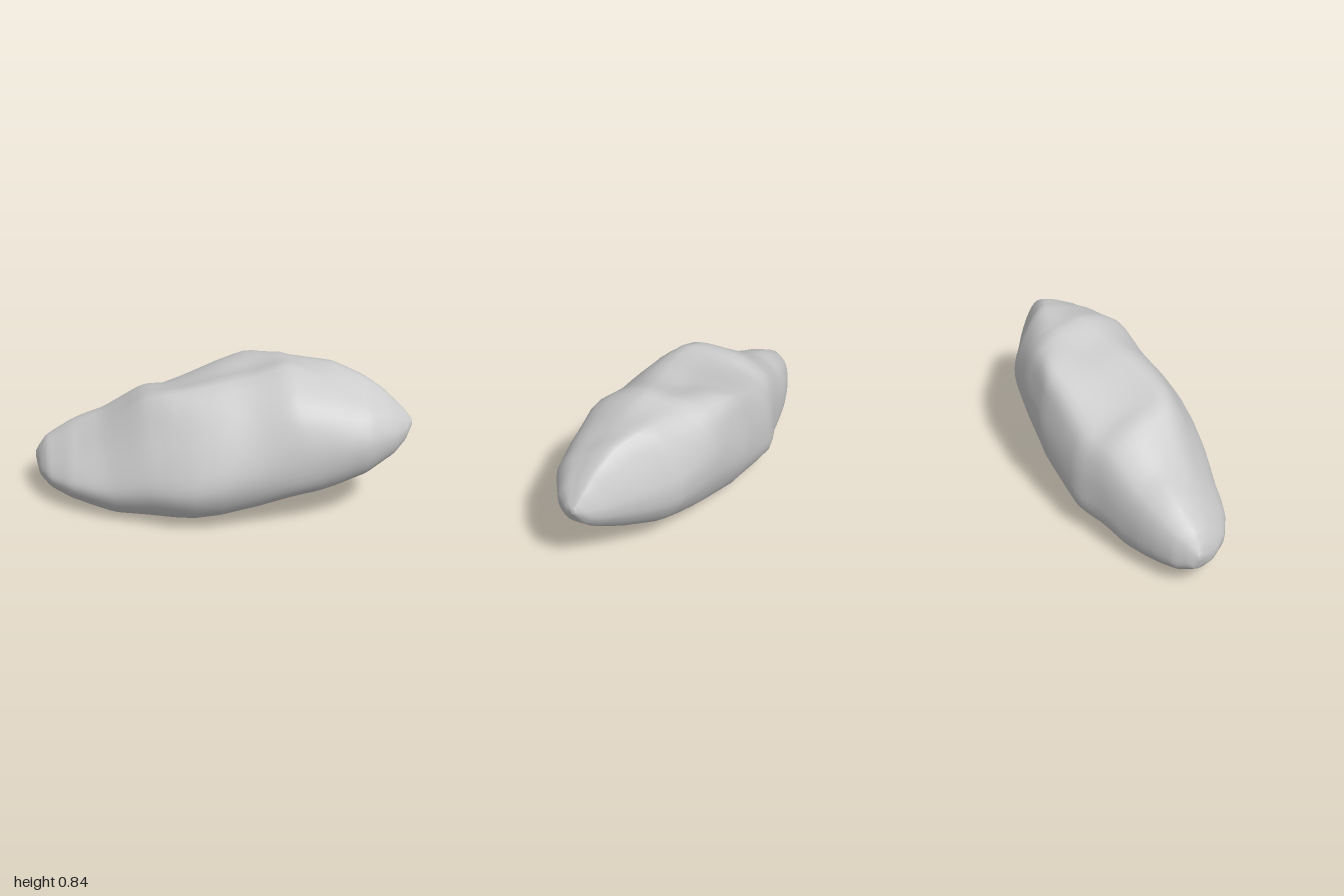
import * as THREE from 'three';

// Outline curves along the length: [x, value]
const top = [[-1, 0.23], [-0.98, 0.27], [-0.94, 0.33], [-0.8, 0.42], [-0.62, 0.51], [-0.4, 0.685], [-0.2, 0.72],
  [0, 0.765], [0.17, 0.79], [0.33, 0.84], [0.6, 0.82], [0.75, 0.77], [0.85, 0.71], [0.95, 0.62], [1, 0.56]];
const bottom = [[-1, 0.2], [-0.98, 0.13], [-0.9, 0.08], [-0.8, 0.05], [-0.57, 0], [-0.4, 0.015], [-0.15, 0.035],
  [0, 0.06], [0.2, 0.11], [0.4, 0.165], [0.5, 0.185], [0.6, 0.22], [0.75, 0.29], [0.9, 0.39], [0.96, 0.45], [1, 0.53]];
const back = [[-1, -0.24], [-0.97, -0.27], [-0.9, -0.32], [-0.8, -0.35], [-0.7, -0.37], [-0.4, -0.4], [-0.25, -0.43],
  [0.1, -0.4], [0.36, -0.33], [0.6, -0.23], [0.8, -0.06], [0.93, 0.06], [0.98, 0.12], [1, 0.16]];
const front = [[-1, -0.21], [-0.97, -0.09], [-0.92, 0], [-0.8, 0.11], [-0.7, 0.17], [-0.5, 0.27], [-0.25, 0.385],
  [-0.15, 0.415], [-0.03, 0.425], [0.2, 0.415], [0.6, 0.4], [0.75, 0.38], [0.9, 0.3], [0.97, 0.23], [1, 0.18]];

// Cross-sections scaled to the outline, [depth, height], from the front over the top to the back and under
const sections = [
  { x: -0.75, ring: [[1, 0.35], [0.95, 0.5], [0.81, 0.69], [0.62, 0.88], [0.45, 0.98], [0.28, 1], [0.1, 0.85],
    [0.03, 0.68], [0, 0.45], [0.02, 0.22], [0.13, 0.07], [0.45, 0], [0.8, 0.05], [0.94, 0.18]] },
  { x: -0.28, ring: [[1, 0.34], [0.95, 0.52], [0.83, 0.75], [0.67, 1], [0.5, 0.97], [0.29, 0.9], [0.1, 0.79],
    [0.03, 0.64], [0, 0.4], [0.01, 0.2], [0.13, 0.07], [0.45, 0], [0.84, 0.05], [0.96, 0.2]] },
  { x: 0.17, ring: [[1, 0.36], [0.96, 0.57], [0.84, 0.81], [0.61, 1], [0.4, 0.98], [0.22, 1], [0.09, 0.97],
    [0.03, 0.76], [0, 0.5], [0.03, 0.28], [0.16, 0.05], [0.45, 0], [0.83, 0.03], [0.95, 0.17]] },
  { x: 0.38, ring: [[1, 0.38], [0.97, 0.62], [0.87, 0.83], [0.56, 1], [0.4, 0.99], [0.22, 0.95], [0.08, 0.83],
    [0.01, 0.64], [0, 0.48], [0.03, 0.29], [0.17, 0.04], [0.5, 0], [0.82, 0.03], [0.96, 0.17]] },
  { x: 0.7, ring: [[1, 0.42], [0.97, 0.58], [0.84, 0.77], [0.64, 0.89], [0.48, 0.97], [0.32, 1], [0.14, 0.79],
    [0.02, 0.54], [0, 0.4], [0.04, 0.22], [0.26, 0.01], [0.55, 0], [0.82, 0.05], [0.95, 0.21]] },
];

const AROUND = 42, ALONG = 64;

// Linear position of x between two stations, held at the ends
function fraction(x, x0, x1) {
  return THREE.MathUtils.clamp((x - x0) / (x1 - x0), 0, 1);
}

function sample(curve, x) {
  let i = 1;
  while (i < curve.length - 1 && curve[i][0] < x) i++;
  const [x0, v0] = curve[i - 1], [x1, v1] = curve[i];
  return THREE.MathUtils.lerp(v0, v1, fraction(x, x0, x1));
}

function ringAt(x) {
  let i = 1;
  while (i < sections.length - 1 && sections[i].x < x) i++;
  const a = sections[i - 1], b = sections[i];
  const t = fraction(x, a.x, b.x);
  const points = a.ring.map(([u, v], k) => new THREE.Vector3(
    0, THREE.MathUtils.lerp(v, b.ring[k][1], t), THREE.MathUtils.lerp(u, b.ring[k][0], t)));
  // Sampled per span, so every corner of the section is kept
  const curve = new THREE.CatmullRomCurve3(points, true, 'centripetal');
  return curve.getPoints(AROUND).slice(0, AROUND);
}

function rockGeometry() {
  const position = [], index = [];
  for (let j = 0; j <= ALONG; j++) {
    const x = -Math.cos((j / ALONG) * Math.PI);
    const y0 = sample(bottom, x), y1 = sample(top, x), z0 = sample(back, x), z1 = sample(front, x);
    for (const p of ringAt(x)) {
      position.push(x, Math.max(0, THREE.MathUtils.lerp(y0, y1, p.y)), THREE.MathUtils.lerp(z0, z1, p.z));
    }
  }
  for (let j = 0; j < ALONG; j++) {
    for (let i = 0; i < AROUND; i++) {
      const a = j * AROUND + i, c = j * AROUND + (i + 1) % AROUND;
      index.push(a, a + AROUND, c, c, a + AROUND, c + AROUND);
    }
  }
  // Close both tips with a centre point
  const left = position.length / 3, last = ALONG * AROUND;
  position.push(-1, 0.215, -0.225, 1, 0.545, 0.17);
  for (let i = 0; i < AROUND; i++) {
    const n = (i + 1) % AROUND;
    index.push(left, i, n, left + 1, last + n, last + i);
  }
  const geometry = new THREE.BufferGeometry();
  geometry.setAttribute('position', new THREE.Float32BufferAttribute(position, 3));
  geometry.setIndex(index);
  geometry.computeVertexNormals();
  return geometry;
}

export function createModel() {
  const group = new THREE.Group();
  group.name = 'boulder';
  const rock = new THREE.Mesh(rockGeometry(), new THREE.MeshStandardMaterial({ color: 0xcccccc }));
  rock.name = 'rock';
  group.add(rock);
  return group;
}
